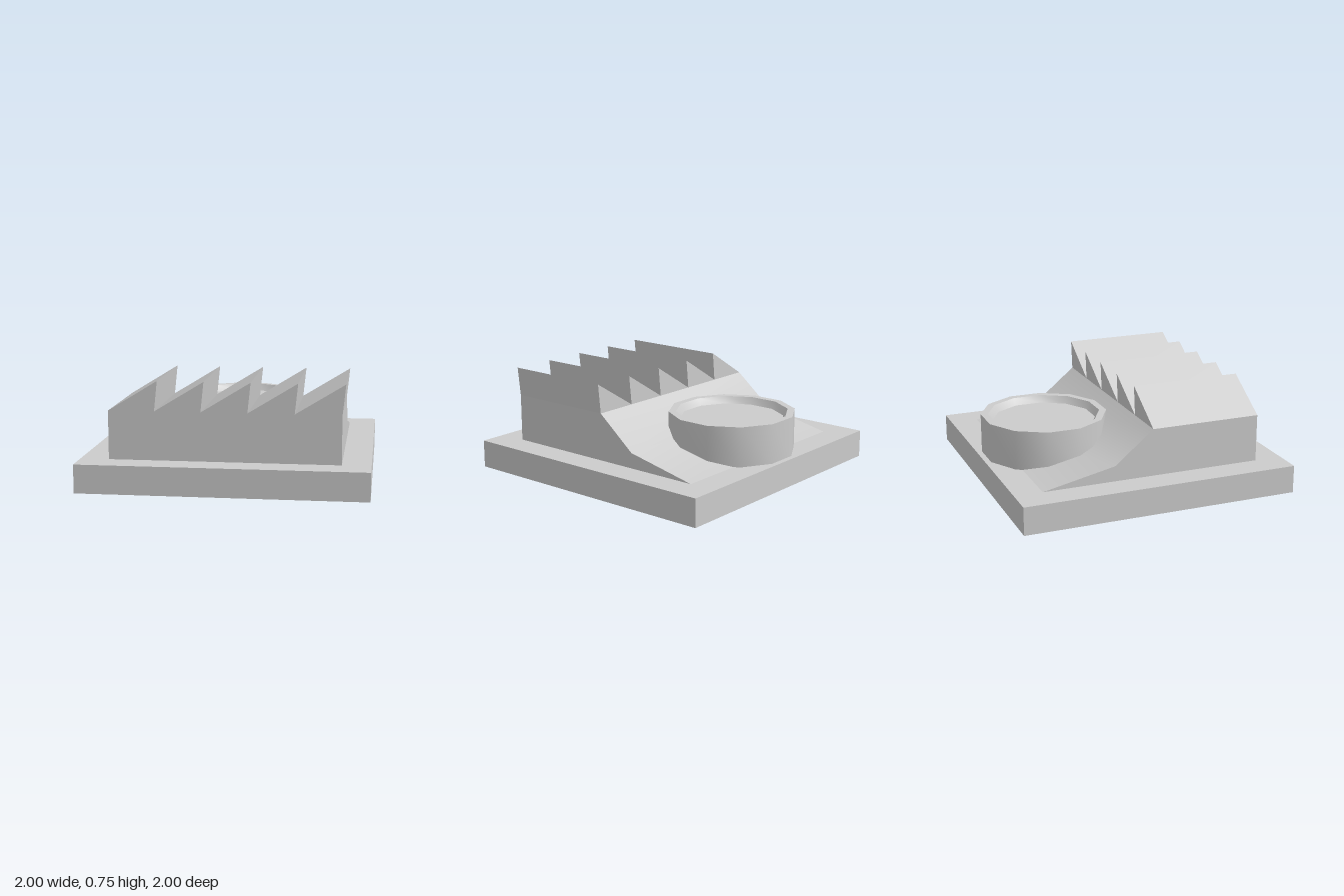
import * as THREE from 'three';
import { toCreasedNormals } from 'three/addons/utils/BufferGeometryUtils.js';

const material = new THREE.MeshStandardMaterial({ color: 0xcccccc });
const BASE = 0.2, EAVES = 0.54, RIDGE = 0.75, HALF = 0.8;

function part(name, geometry) {
  const mesh = new THREE.Mesh(geometry, material);
  mesh.name = name;
  return mesh;
}

function extrude(points, depth) {
  const shape = new THREE.Shape(points.map(([x, y]) => new THREE.Vector2(x, y)));
  return new THREE.ExtrudeGeometry(shape, { depth, bevelEnabled: false });
}

export function createModel() {
  const model = new THREE.Group();
  model.name = 'sawtoothHall';

  // Square ground slab
  model.add(part('base', new THREE.BoxGeometry(2, BASE, 2).translate(0, BASE / 2, 0)));

  // Hall with five overhanging sawtooth roof bays
  const teeth = 5, pitch = (2 * HALF) / teeth;
  const outline = [[HALF, BASE], [-HALF, BASE], [-HALF, EAVES]];
  for (let i = 1; i <= teeth; i++) {
    const x = -HALF + i * pitch;
    outline.push([x + 0.022, RIDGE], [x, EAVES]);
  }
  model.add(part('sawtoothHall', extrude(outline.reverse(), 0.8)));

  // Ramp falling from the hall's back wall to the slab, smooth across its bend
  const ramp = extrude([[0, BASE], [0.8, BASE], [0.28, 0.31], [0, EAVES]], 2 * HALF);
  ramp.rotateY(Math.PI / 2).translate(-HALF, 0, 0);
  model.add(part('ramp', toCreasedNormals(ramp, 0.65)));

  // Twelve-sided tank with a raised rim and a shallow recessed top
  const toRadius = 1 / Math.cos(Math.PI / 12);
  const profile = [[0, BASE], [0.44, BASE], [0.44, 0.485], [0.39, 0.485], [0.36, 0.435], [0, 0.435]]
    .map(([r, y]) => new THREE.Vector2(r * toRadius, y));
  const tank = part('tank', toCreasedNormals(new THREE.LatheGeometry(profile, 12, Math.PI / 12), 0.65));
  tank.position.set(-0.015, 0, -0.52);
  model.add(tank);

  return model;
}
